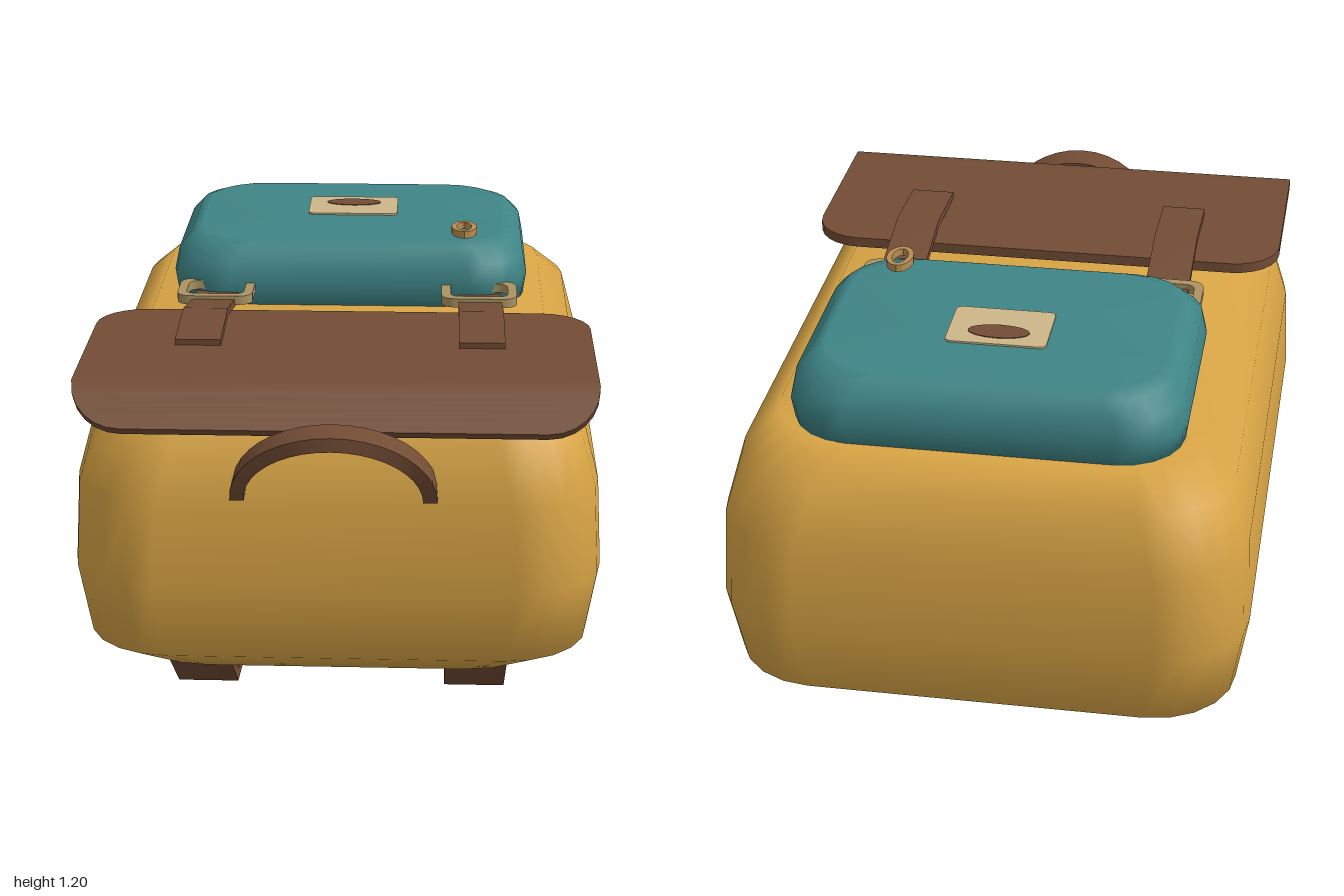
import * as THREE from 'three';
import { toCreasedNormals } from 'three/addons/utils/BufferGeometryUtils.js';

const mat = (name, color) => Object.assign(new THREE.MeshStandardMaterial({ color }), { name });

// Skin a list of equal-length point rings and close both ends; faces are turned outward.
function loft(rings) {
  const n = rings[0].length, pos = [], idx = [];
  rings.forEach(r => r.forEach(p => pos.push(...p)));
  for (let i = 0; i < rings.length - 1; i++)
    for (let j = 0; j < n; j++) {
      const a = i * n + j, b = i * n + (j + 1) % n;
      idx.push(a, a + n, b, b, a + n, b + n);
    }
  [0, rings.length - 1].forEach(r => {
    const c = pos.length / 3;
    pos.push(...[0, 1, 2].map(k => rings[r].reduce((s, p) => s + p[k], 0) / n));
    for (let j = 0; j < n; j++) {
      const a = r * n + j, b = r * n + (j + 1) % n;
      idx.push(...(r ? [c, b, a] : [c, a, b]));
    }
  });
  const v = i => new THREE.Vector3().fromArray(pos, i * 3);
  let volume = 0;
  for (let i = 0; i < idx.length; i += 3) volume += v(idx[i]).dot(v(idx[i + 1]).cross(v(idx[i + 2])));
  if (volume < 0) idx.reverse();
  const g = new THREE.BufferGeometry();
  g.setAttribute('position', new THREE.Float32BufferAttribute(pos, 3));
  g.setIndex(idx);
  g.computeVertexNormals();
  return g;
}

// Soft bag: rounded rectangles in plan, stacked by [height, inset].
function softBox(halfX, z0, z1, radius, levels) {
  const cz = (z0 + z1) / 2, halfZ = (z1 - z0) / 2;
  return loft(levels.map(([y, inset]) => {
    const ring = [], hx = halfX - inset, hz = halfZ - inset;
    for (let q = 0; q < 4; q++)
      for (let k = 0; k <= 5; k++) {
        const a = (q + k / 5) * Math.PI / 2;
        const sx = q === 0 || q === 3 ? 1 : -1, sz = q < 2 ? 1 : -1;
        ring.push([sx * (hx - radius) + radius * Math.cos(a), y, cz + sz * (hz - radius) + radius * Math.sin(a)]);
      }
    return ring;
  }));
}

// Flat band following [z, y, halfWidth] stations.
function band(stations, thickness) {
  const rings = stations.map(([z, y, w], i) => {
    const p = stations[Math.max(i - 1, 0)], q = stations[Math.min(i + 1, stations.length - 1)];
    const len = Math.hypot(q[0] - p[0], q[1] - p[1]), h = thickness / 2;
    const nz = -(q[1] - p[1]) / len * h, ny = (q[0] - p[0]) / len * h;
    return [[-w, y + ny, z + nz], [w, y + ny, z + nz], [w, y - ny, z - nz], [-w, y - ny, z - nz]];
  });
  return toCreasedNormals(loft(rings), 0.9);
}

function roundRect(target, w, h, r) {
  const x = w / 2, y = h / 2;
  target.moveTo(-x + r, -y);
  target.lineTo(x - r, -y).quadraticCurveTo(x, -y, x, -y + r);
  target.lineTo(x, y - r).quadraticCurveTo(x, y, x - r, y);
  target.lineTo(-x + r, y).quadraticCurveTo(-x, y, -x, y - r);
  target.lineTo(-x, -y + r).quadraticCurveTo(-x, -y, -x + r, -y);
  return target;
}

// Extrude a plan shape upward from y = 0.
const slab = (shape, depth) =>
  new THREE.ExtrudeGeometry(shape, { depth, bevelEnabled: false, curveSegments: 8 }).rotateX(-Math.PI / 2);

export function createModel() {
  const group = new THREE.Group();
  const canvas = mat('mustard canvas', 0xd9a545);
  const teal = mat('teal canvas', 0x3f8587);
  const leather = mat('brown leather', 0x734d35);
  const cream = mat('cream patch', 0xcdb688);
  const brass = mat('dull brass', 0xab9463);
  const gold = mat('gold pull', 0xb98d52);
  const add = (name, geometry, material, x = 0, y = 0, z = 0) => {
    const m = new THREE.Mesh(geometry, material);
    m.name = name;
    m.position.set(x, y, z);
    group.add(m);
    return m;
  };

  // Main bag, lying on its back
  add('bagBody', softBox(0.685, -1, 0.84, 0.22, [
    [0.26, 0.125], [0.33, 0.03], [0.53, 0], [0.76, 0.012], [0.92, 0.055], [1.0, 0.135],
  ]), canvas);

  // Pocket on the upper face
  add('frontPocket', softBox(0.505, -0.86, -0.085, 0.16, [
    [0.985, 0.01], [1.06, 0], [1.12, 0.012], [1.16, 0.045], [1.175, 0.075],
  ]), teal);

  // Patch with a small oval mark
  add('patch', slab(roundRect(new THREE.Shape(), 0.26, 0.19, 0.02), 0.006), cream, 0, 1.174, -0.515);
  add('patchMark', slab(new THREE.Shape().absellipse(0, 0, 0.08, 0.035, 0, Math.PI * 2), 0.003), leather, 0, 1.179, -0.545);

  // Zip pull ring
  const pull = new THREE.Shape().absellipse(0, 0, 0.036, 0.058, 0, Math.PI * 2);
  pull.holes.push(new THREE.Path().absellipse(0, 0, 0.021, 0.042, 0, Math.PI * 2));
  add('zipPull', slab(pull, 0.02), gold, 0.325, 1.184, -0.205);

  // Flap with rounded corners, bent down over the front edge
  const flap = [];
  for (let k = 0; k <= 6; k++) {
    const a = k / 6 * Math.PI / 2;
    flap.push([0.165 + 0.13 * (1 - Math.cos(a)), 1.05, 0.53 + 0.13 * Math.sin(a)]);
  }
  flap.push([0.72, 1.05, 0.66]);
  for (let k = 0; k <= 6; k++) {
    const a = k / 6 * Math.PI / 2, s = Math.sin(a);
    flap.push([0.752 + 0.095 * s, 1.05 - 0.09 * s, 0.53 + 0.13 * Math.cos(a)]);
  }
  add('flap', band(flap, 0.028), leather);

  // Carry handle arching out of the front
  const arch = [];
  for (let k = 0; k <= 20; k++) {
    const a = k / 20 * Math.PI, c = Math.cos(a), s = Math.sin(a), z = 0.81 + 0.14 * s;
    const at = (d, dz) => [c * (0.242 + d), 0.785 + s * (0.203 + d), z + dz];
    arch.push([at(0.018, -0.05), at(0.018, 0.05), at(-0.018, 0.05), at(-0.018, -0.05)]);
  }
  add('carryHandle', toCreasedNormals(loft(arch), 0.6), leather);

  // Paired flap straps, buckles and shoulder straps
  const frame = roundRect(new THREE.Shape(), 0.21, 0.17, 0.045);
  frame.holes.push(roundRect(new THREE.Path(), 0.16, 0.12, 0.03));
  const buckle = slab(frame, 0.025);
  const flapStrap = band([[-0.12, 1.022, 0.06], [0, 1.037, 0.06], [0.25, 1.085, 0.06], [0.475, 1.07, 0.06]], 0.02);
  const shoulderStrap = band([
    [-0.78, 0.34, 0.082], [-0.53, 0.095, 0.082], [-0.02, 0.018, 0.082], [0.41, 0.083, 0.082], [0.7, 0.31, 0.082],
  ], 0.034);
  for (const side of [-1, 1]) {
    const label = side > 0 ? 'left' : 'right';
    add(label + 'FlapStrap', flapStrap, leather, side * 0.37);
    add(label + 'Buckle', buckle, brass, side * 0.368, 1.04, -0.042);
    add(label + 'ShoulderStrap', shoulderStrap, leather, side * 0.367);
  }
  return group;
}
